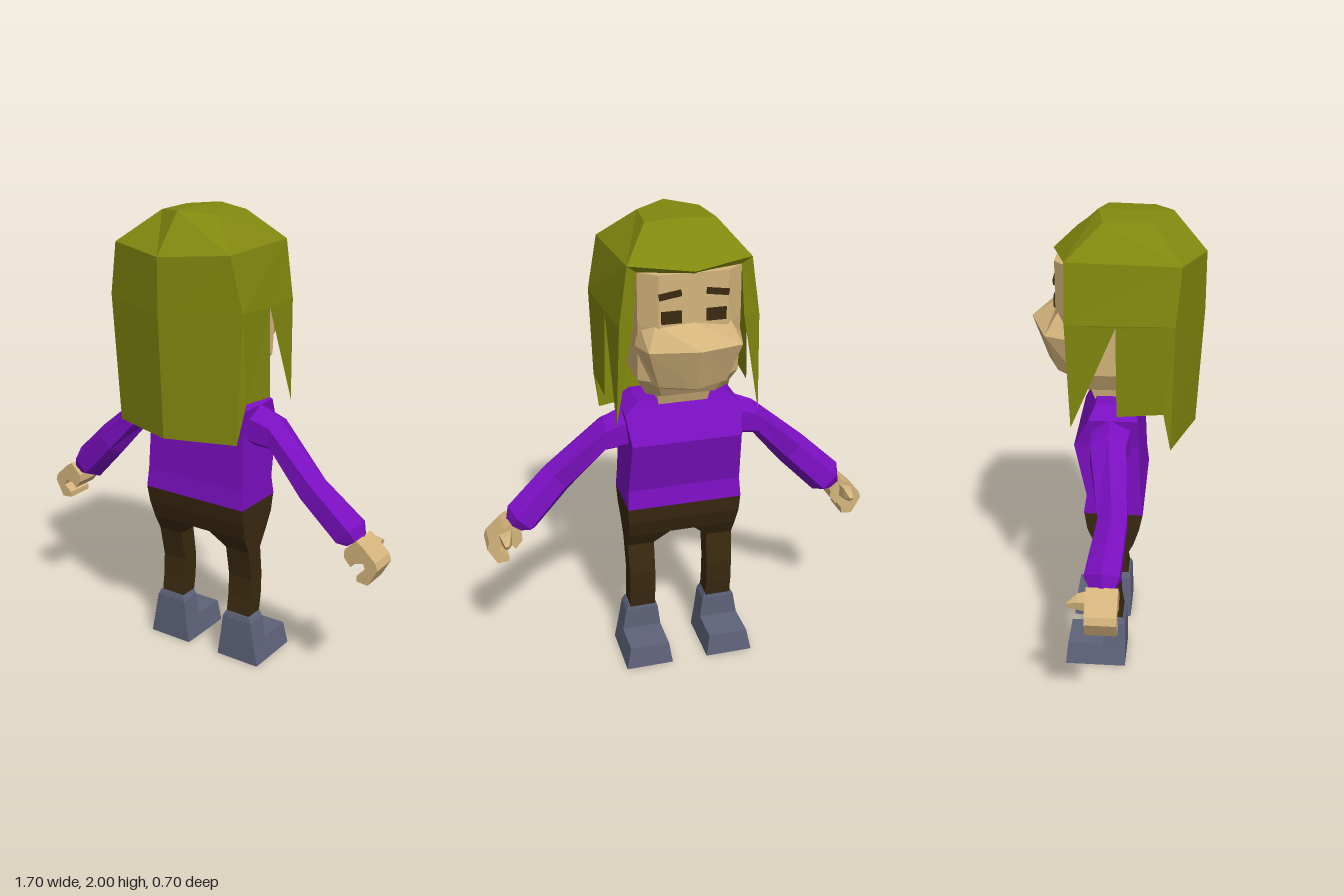
import * as THREE from 'three';

const mat = (name, color, extra = {}) =>
  Object.assign(new THREE.MeshStandardMaterial({ color, flatShading: true, ...extra }), { name });

// Flat-faced geometry from a list of polygons, each fanned into triangles
function faces(polys) {
  const pos = [];
  for (const p of polys)
    for (let i = 1; i < p.length - 1; i++) pos.push(...p[0], ...p[i], ...p[i + 1]);
  // turn closed solids outward
  let vol = 0;
  const a = new THREE.Vector3(), b = new THREE.Vector3(), c = new THREE.Vector3();
  for (let i = 0; i < pos.length; i += 9) {
    a.fromArray(pos, i); b.fromArray(pos, i + 3); c.fromArray(pos, i + 6);
    vol += a.dot(b.cross(c));
  }
  if (vol < 0)
    for (let i = 0; i < pos.length; i += 9)
      for (let k = 0; k < 3; k++) [pos[i + 3 + k], pos[i + 6 + k]] = [pos[i + 6 + k], pos[i + 3 + k]];
  const g = new THREE.BufferGeometry();
  g.setAttribute('position', new THREE.Float32BufferAttribute(pos, 3));
  g.computeVertexNormals();
  return g;
}

// Closed solid skinned through rings of points
function loft(rings) {
  const polys = [[...rings[0]].reverse(), rings[rings.length - 1]];
  const n = rings[0].length;
  for (let r = 0; r < rings.length - 1; r++)
    for (let i = 0; i < n; i++) {
      const j = (i + 1) % n;
      polys.push([rings[r][i], rings[r][j], rings[r + 1][j], rings[r + 1][i]]);
    }
  return faces(polys);
}

const flip = ([x, y, z]) => [-x, y, z];
// Rectangle ring at height y
const rect = (y, x0, x1, z0, z1) => [[x0, y, z0], [x0, y, z1], [x1, y, z1], [x1, y, z0]];
// Full ring from its left half
const sym = (half) => [...half, ...half.filter((p) => p[0] !== 0).reverse().map(flip)];

// Six-sided sleeve ring between an upper and a lower edge
function sleeve(tx, ty, bx, by, z0, z1) {
  const at = (t, z) => [tx + (bx - tx) * t, ty + (by - ty) * t, z];
  const m = (z0 + z1) / 2;
  return [at(0, m), at(0.25, z0), at(0.75, z0), at(1, m), at(0.75, z1), at(0.25, z1)];
}

export function createModel() {
  const model = new THREE.Group();
  model.name = 'longHairedFigure';
  const hairMat = mat('olive hair', 0x81880e, { side: THREE.DoubleSide });
  const skin = mat('tan skin', 0xd4b47c);
  const purple = mat('purple sweater', 0x7a0fc0);
  const brown = mat('dark brown', 0x3a2910);
  const grey = mat('blue grey boots', 0x5f637a);

  const add = (name, geo, m, parent = model) => {
    const mesh = new THREE.Mesh(geo, m);
    mesh.name = name;
    parent.add(mesh);
    return mesh;
  };

  // Head, muzzle and neck
  const headRing = (y, s, f) => sym([[0.14 * s, y, -0.24 * f], [0.21 * s, y, -0.18 * f],
    [0.21 * s, y, 0.1 * s], [0.13 * s, y, 0.19 * s]]);
  add('head', loft([headRing(1.3, 0.8, 0.7), headRing(1.38, 1, 0.9), headRing(1.62, 1, 1),
    headRing(1.83, 1, 1)]), skin);
  add('muzzle', loft([
    sym([[0.2, 1.62, -0.16], [0.15, 1.63, -0.225], [0, 1.63, -0.24]]),
    sym([[0.22, 1.53, -0.17], [0.19, 1.535, -0.28], [0, 1.55, -0.355]]),
    sym([[0.18, 1.37, -0.16], [0.14, 1.37, -0.235], [0, 1.37, -0.29]]),
    sym([[0.15, 1.33, -0.14], [0.1, 1.33, -0.17], [0, 1.33, -0.2]]),
  ]), skin);
  add('neck', loft([rect(1.2, -0.1, 0.1, -0.08, 0.05), rect(1.32, -0.12, 0.12, -0.12, 0.06)]), skin);

  // Hair cap, side panels, pointed front locks and back curtain
  const T0 = [0, 2, -0.08], T1 = [0.145, 1.985, -0.05], T2 = [0.13, 1.985, 0.14], T3 = [0, 2, 0.215];
  const R0 = [0, 1.84, -0.26], R1 = [0.25, 1.86, -0.19], R2 = [0.275, 1.86, 0.26], R3 = [0, 1.84, 0.35];
  const M1 = [0.285, 1.62, -0.19], G = [0.3, 1.62, 0.01], M2 = [0.32, 1.64, 0.24], M3 = [0, 1.6, 0.35];
  const L = [0.3, 1.19, -0.17], G2 = [0.31, 1.25, 0.015], S2 = [0.317, 1.27, 0.2];
  const B2 = [0.292, 1.1, 0.23], B3 = [0, 1.1, 0.325];
  const I1 = [0.21, 1.83, -0.18], I2 = [0.225, 1.62, -0.18], I0 = [0, 1.82, -0.23];
  const half = [
    [T0, T3, T2, T1], [R0, T0, T1, R1], [R1, T1, T2, R2], [R2, T2, T3, R3],
    [R1, R2, M2, G, M1], [M1, G, L], [G, M2, S2, G2], [M2, B2, S2],
    [R2, R3, M3, M2], [M2, M3, B3, B2],
    [R1, M1, I2, I1], [M1, L, I2], [I2, L, G], [R0, R1, I1, I0],
  ];
  add('hair', faces([...half, ...half.map((p) => p.map(flip).reverse())]), hairMat);

  // Sweater body
  add('sweaterBody', loft([
    rect(0.765, -0.25, 0.25, -0.128, 0.12), rect(0.85, -0.245, 0.245, -0.115, 0.11),
    rect(1.08, -0.235, 0.235, -0.165, 0.1), rect(1.2, -0.25, 0.25, -0.105, 0.095),
    rect(1.245, -0.19, 0.19, -0.08, 0.08),
  ]), purple);

  // Trouser hips
  add('hips', loft([
    rect(0.61, -0.24, 0.24, -0.085, 0.08), rect(0.69, -0.247, 0.247, -0.115, 0.105),
    rect(0.765, -0.25, 0.25, -0.125, 0.12),
  ]), brown);

  // Hooked hand outline
  const handShape = new THREE.Shape([
    [0.7, 0.69], [0.75, 0.74], [0.775, 0.725], [0.84, 0.665], [0.85, 0.635], [0.81, 0.56], [0.76, 0.565],
    [0.76, 0.59], [0.8, 0.62], [0.785, 0.65], [0.745, 0.64], [0.73, 0.62], [0.7, 0.655],
  ].map(([x, y]) => new THREE.Vector2(x, y)));

  for (const s of [1, -1]) {
    const side = s > 0 ? 'left' : 'right';
    const m = (rings) => loft(s > 0 ? rings : rings.map((r) => r.map(flip)));

    add(side + 'Sleeve', m([
      sleeve(0.17, 1.235, 0.17, 1.02, -0.09, 0.075), sleeve(0.325, 1.17, 0.335, 1.01, -0.09, 0.055),
      sleeve(0.575, 0.955, 0.475, 0.84, -0.04, 0.075), sleeve(0.745, 0.8, 0.635, 0.68, -0.08, 0.06),
      sleeve(0.755, 0.74, 0.685, 0.685, -0.055, 0.04),
    ]), purple);

    // Hand with thumb pointing forward
    const hand = new THREE.Group();
    hand.name = side + 'Hand';
    model.add(hand);
    const palm = new THREE.ExtrudeGeometry(handShape, { depth: 0.125, bevelEnabled: false });
    palm.translate(0, 0, -0.068);
    if (s < 0) palm.rotateY(Math.PI).translate(0, 0, -0.011);
    add(side + 'Palm', palm, skin, hand);
    add(side + 'Thumb', m([
      [[0.74, 0.72, -0.05], [0.8, 0.7, -0.05], [0.79, 0.65, -0.05], [0.74, 0.66, -0.05]],
      [[0.75, 0.71, -0.1], [0.79, 0.695, -0.1], [0.785, 0.66, -0.105], [0.75, 0.66, -0.105]],
      [[0.765, 0.68, -0.142], [0.78, 0.68, -0.142], [0.78, 0.66, -0.13], [0.765, 0.66, -0.13]],
    ]), skin, hand);

    add(side + 'Leg', m([
      rect(0.2, 0.12, 0.235, -0.045, 0.04), rect(0.3, 0.12, 0.235, -0.062, 0.025),
      rect(0.4, 0.12, 0.235, -0.065, 0.02), rect(0.54, 0.12, 0.238, -0.045, 0.045),
      rect(0.61, 0.055, 0.24, -0.085, 0.08),
    ]), brown);

    add(side + 'Boot', m([
      rect(0, 0.08, 0.29, -0.215, 0.05), rect(0.1, 0.095, 0.27, -0.205, 0.05),
      rect(0.1, 0.095, 0.27, -0.05, 0.05), rect(0.2, 0.107, 0.253, -0.05, 0.048),
      rect(0.225, 0.118, 0.24, -0.046, 0.042),
    ]), grey);

    // Eye and slanted brow plates
    add(side + 'Eye', new THREE.BoxGeometry(0.08, 0.05, 0.009), brown).position.set(s * 0.09, 1.66, -0.243);
    const brow = add(side + 'Brow', new THREE.BoxGeometry(0.09, 0.025, 0.009), brown);
    brow.position.set(s * 0.095, 1.75, -0.243);
    brow.rotation.z = s * -0.15;
  }
  return model;
}
